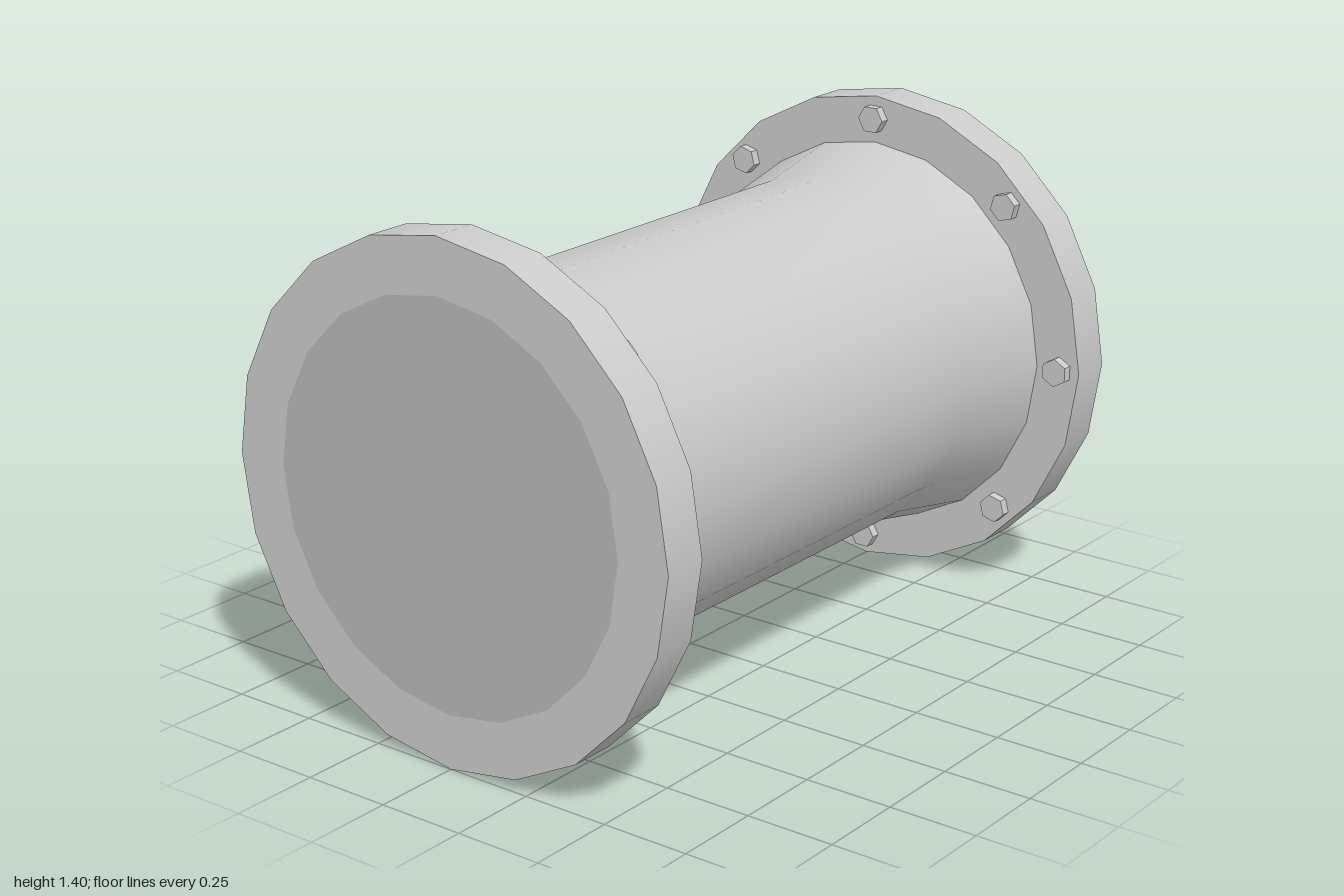
import * as THREE from 'three';

const SIDES = 20;
const grey = new THREE.MeshStandardMaterial({ color: 0xcccccc });
const flatGrey = new THREE.MeshStandardMaterial({ color: 0xcccccc, flatShading: true });
const capGrey = new THREE.MeshStandardMaterial({ color: 0xb8b8b8 });

function add(parent, name, geometry, material) {
  const mesh = new THREE.Mesh(geometry, material);
  mesh.name = name;
  parent.add(mesh);
  return mesh;
}

// One flanged end facing +z, from z = 0.87 to z = 1
function createEnd(name) {
  const end = new THREE.Group();
  end.name = name;

  const rim = new THREE.CylinderGeometry(0.7, 0.7, 0.13, SIDES, 1, true).rotateX(Math.PI / 2);
  add(end, 'flangeRim', rim, grey).position.z = 0.935;
  add(end, 'flangeOuterFace', new THREE.RingGeometry(0.55, 0.7, SIDES), grey).position.z = 1;
  const inner = new THREE.RingGeometry(0.55, 0.7, SIDES).rotateY(Math.PI);
  add(end, 'flangeInnerFace', inner, grey).position.z = 0.87;

  // Flush disc closing the bore
  add(end, 'endCap', new THREE.CircleGeometry(0.55, SIDES), capGrey).position.z = 1;

  // Hexagonal bolt heads on the inner face, corners pointing along the circle
  const head = new THREE.CylinderGeometry(0.041, 0.041, 0.03, 6).rotateX(Math.PI / 2);
  for (let i = 0; i < 8; i++) {
    const a = (i * Math.PI) / 4;
    const bolt = add(end, 'bolt', head, flatGrey);
    bolt.position.set(0.635 * Math.cos(a), 0.635 * Math.sin(a), 0.857);
    bolt.rotation.z = a;
  }
  return end;
}

export function createModel() {
  const model = new THREE.Group();
  model.name = 'flangedPipe';

  // Pipe body with flared ends
  const profile = [[0.565, -0.87], [0.51, -0.58], [0.51, 0.58], [0.565, 0.87]]
    .map(([r, h]) => new THREE.Vector2(r, h));
  add(model, 'pipeBody', new THREE.LatheGeometry(profile, SIDES).rotateX(Math.PI / 2), grey);

  // Matching flanges front and back
  const back = createEnd('backEnd');
  back.rotation.y = Math.PI;
  model.add(createEnd('frontEnd'), back);

  // Rest the flanges on the ground
  model.position.y = 0.7;
  return model;
}
